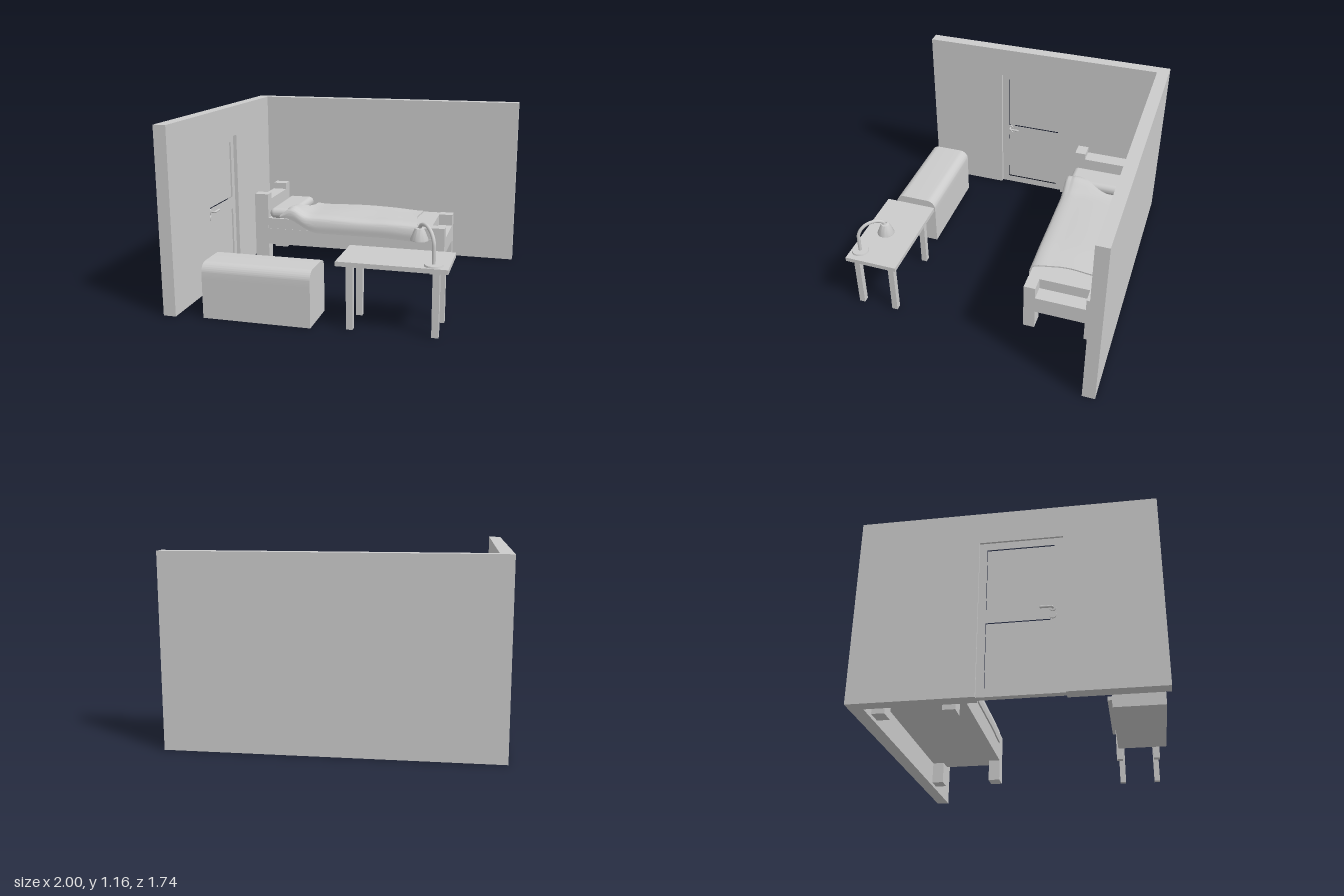
import * as THREE from 'three';
import { RoundedBoxGeometry } from 'three/addons/geometries/RoundedBoxGeometry.js';
import { toCreasedNormals } from 'three/addons/utils/BufferGeometryUtils.js';

const mat = new THREE.MeshStandardMaterial({ color: 0xcccccc });
const sheetMat = new THREE.MeshStandardMaterial({ color: 0xcccccc, side: THREE.DoubleSide });

function add(parent, name, geometry, x = 0, y = 0, z = 0, material = mat) {
  const mesh = new THREE.Mesh(geometry, material);
  mesh.name = name;
  mesh.position.set(x, y, z);
  parent.add(mesh);
  return mesh;
}

// box given by its limits on each axis
function box(parent, name, x0, x1, y0, y1, z0, z1) {
  return add(parent, name, new THREE.BoxGeometry(x1 - x0, y1 - y0, z1 - z0),
    (x0 + x1) / 2, (y0 + y1) / 2, (z0 + z1) / 2);
}

function group(parent, name) {
  const g = new THREE.Group();
  g.name = name;
  parent.add(g);
  return g;
}

// outline in the (z, y) plane, extruded from x0 to x1
function sideExtrude(points, holes, x0, x1) {
  const toV = (p) => new THREE.Vector2(-p[0], p[1]);
  const shape = new THREE.Shape(points.map(toV));
  holes.forEach((h) => shape.holes.push(new THREE.Path(h.map(toV))));
  const geo = new THREE.ExtrudeGeometry(shape, { depth: x1 - x0, bevelEnabled: false });
  return geo.rotateY(Math.PI / 2).translate(x0, 0, 0);
}

const rect = (z0, z1, y0, y1) => [[z0, y0], [z1, y0], [z1, y1], [z0, y1]];

function buildWalls(root) {
  const g = group(root, 'walls');
  box(g, 'backWall', -0.985, 0.995, 0, 1.163, -0.87, -0.79);
  const outline = [[-0.79, 0], [-0.155, 0], [-0.155, 0.96], [0.325, 0.96], [0.325, 0], [0.865, 0], [0.865, 1.163], [-0.79, 1.163]];
  add(g, 'sideWall', sideExtrude(outline, [], -0.985, -0.905));
}

function buildDoor(root) {
  const g = group(root, 'door');
  const panels = [rect(-0.11, 0.275, 0.05, 0.44), rect(-0.11, 0.275, 0.525, 0.915)];
  add(g, 'doorFrame', sideExtrude(rect(-0.155, 0.325, 0, 0.96), panels, -0.972, -0.93));
  panels.forEach((p) => add(g, 'doorPanel', sideExtrude(p, [], -0.961, -0.941)));
  // handle and lock plate on both faces
  for (const [face, dir] of [[-0.93, 1], [-0.972, -1]]) {
    const reach = dir > 0 ? 0.033 : 0.021;
    for (const y of [0.505, 0.46]) {
      add(g, 'rosette', new THREE.CylinderGeometry(0.019, 0.019, 0.008, 24).rotateZ(Math.PI / 2), face + dir * 0.004, y, 0.262);
    }
    add(g, 'handleNeck', new THREE.CylinderGeometry(0.007, 0.007, reach, 16).rotateZ(Math.PI / 2), face + dir * reach / 2, 0.505, 0.262);
    add(g, 'handleLever', new THREE.CapsuleGeometry(0.007, 0.062, 6, 16).rotateX(Math.PI / 2), face + dir * reach, 0.505, 0.228);
  }
}

// closed quilt made of rounded cross-sections along the bed
function blanketGeometry() {
  const N = 60, M = 56, thick = 0.01, pos = [], idx = [];
  const section = new THREE.CatmullRomCurve3([
    [-0.787, 0.215], [-0.788, 0.29], [-0.778, 0.342], [-0.74, 0.36], [-0.64, 0.365], [-0.53, 0.367],
    [-0.42, 0.365], [-0.33, 0.361], [-0.29, 0.345], [-0.274, 0.305], [-0.276, 0.248],
  ].map(([z, y]) => new THREE.Vector3(0, y, z)));
  const smooth = THREE.MathUtils.smoothstep;
  const point = (t, v, inset) => {
    const p = section.getPoint(v), n = section.getTangent(v);
    const w = smooth(p.z, -0.72, -0.28);
    const left = -0.485 - 0.155 * w * w;
    const right = 0.335 + 0.025 * w - 0.02 * Math.sin(w * Math.PI);
    const x = left + (right - left) * t;
    // the front hem is gathered up near the pillow
    const lift = 1 - smooth(x, -0.62, -0.35);
    let y = p.y;
    if (p.z > -0.35 && y < 0.36) y += (0.352 - y) * lift * 0.9;
    // folds over the pillow edge, and a faint sag along the quilt
    y += (0.015 + 0.05 * w) * Math.exp(-(((x + 0.555) / 0.075) ** 2)) * smooth(p.y, 0.22, 0.36);
    y += 0.004 * Math.sin(x * 9 + p.z * 5) * smooth(p.y, 0.3, 0.36);
    y -= 0.012 * smooth(x, 0.1, 0.36);
    return [x, y - n.z * inset, p.z + n.y * inset];
  };
  for (let i = 0; i <= N; i++) {
    for (let j = 0; j <= M; j++) pos.push(...point(i / N, j / M, 0));
    for (let j = M; j >= 0; j--) pos.push(...point(i / N, j / M, thick));
  }
  const R = 2 * (M + 1);
  for (let i = 0; i < N; i++) {
    for (let j = 0; j < R; j++) {
      const a = i * R + j, b = i * R + ((j + 1) % R);
      idx.push(a, b, a + R, b, b + R, a + R);
    }
  }
  // head and foot hems
  for (let j = 0; j < M; j++) {
    const a = j, b = j + 1, c = R - 2 - j, d = R - 1 - j, e = N * R;
    idx.push(a, d, b, b, d, c, e + a, e + b, e + d, e + b, e + c, e + d);
  }
  const geo = new THREE.BufferGeometry();
  geo.setAttribute('position', new THREE.Float32BufferAttribute(pos, 3));
  geo.setIndex(idx);
  return toCreasedNormals(geo, 0.9);
}

function buildBed(root) {
  const g = group(root, 'bed');
  for (const [z0, z1] of [[-0.77, -0.695], [-0.37, -0.295]]) {
    box(g, 'headPost', -0.835, -0.735, 0, 0.51, z0, z1);
    box(g, 'footPost', 0.457, 0.555, 0, 0.337, z0, z1);
  }
  box(g, 'headboard', -0.835, -0.735, 0.14, 0.465, -0.695, -0.37);
  box(g, 'footboard', 0.457, 0.555, 0.14, 0.257, -0.695, -0.37);
  box(g, 'bedFrame', -0.735, 0.457, 0.14, 0.257, -0.77, -0.295);
  box(g, 'mattress', -0.735, 0.405, 0.257, 0.333, -0.77, -0.297);
  box(g, 'footRail', 0.405, 0.457, 0.257, 0.333, -0.77, -0.297);
  add(g, 'pillow', new RoundedBoxGeometry(0.2, 0.075, 0.47, 6, 0.035), -0.63, 0.366, -0.535);
  add(g, 'blanket', blanketGeometry(), 0, 0, 0, sheetMat);
}

function buildChest(root) {
  const g = group(root, 'chest');
  box(g, 'chestBody', -0.735, -0.062, 0, 0.252, 0.55, 0.842);
  // lid with rounded long edges
  const r = 0.06, s = new THREE.Shape();
  s.moveTo(-0.842, 0.252);
  s.lineTo(-0.55, 0.252);
  s.lineTo(-0.55, 0.343 - r);
  s.absarc(-0.55 - r, 0.343 - r, r, 0, Math.PI / 2);
  s.absarc(-0.842 + r, 0.343 - r, r, Math.PI / 2, Math.PI);
  const lid = new THREE.ExtrudeGeometry(s, { depth: 0.673, bevelEnabled: false, curveSegments: 16 });
  add(g, 'chestLid', toCreasedNormals(lid.rotateY(Math.PI / 2), 0.5), -0.735);
}

function buildTable(root) {
  const g = group(root, 'table');
  box(g, 'tableTop', 0.085, 0.73, 0.388, 0.416, 0.49, 0.83);
  for (const x of [0.162, 0.66]) {
    for (const z of [0.55, 0.785]) box(g, 'tableLeg', x - 0.02, x + 0.02, 0, 0.388, z - 0.019, z + 0.019);
  }
}

function buildLamp(root) {
  const g = group(root, 'lamp');
  add(g, 'lampBase', new THREE.CylinderGeometry(0.052, 0.055, 0.01, 32), 0.64, 0.421, 0.77);
  // arm bends from the base over to the shade
  const foot = new THREE.Vector3(0.64, 0, 0.77), head = new THREE.Vector3(0.533, 0, 0.63);
  const at = (t, y) => foot.clone().lerp(head, t).setY(y);
  const path = new THREE.CatmullRomCurve3([at(0, 0.42), at(0, 0.5), at(0.02, 0.55), at(0.18, 0.595),
    at(0.42, 0.62), at(0.7, 0.624), at(0.92, 0.608), at(1, 0.58)]);
  add(g, 'lampArm', new THREE.TubeGeometry(path, 48, 0.011, 14));
  const profile = [[0.012, 0.592], [0.026, 0.588], [0.032, 0.575], [0.053, 0.524], [0.053, 0.518], [0.048, 0.518], [0.028, 0.573], [0, 0.58]];
  const shade = new THREE.LatheGeometry(profile.map(([r, y]) => new THREE.Vector2(r, y)), 32);
  add(g, 'lampShade', toCreasedNormals(shade, 0.6), head.x, 0, head.z, sheetMat);
  add(g, 'lampBulb', new THREE.SphereGeometry(0.02, 20, 14), head.x, 0.548, head.z);
}

export function createModel() {
  const root = new THREE.Group();
  root.name = 'bedroom';
  [buildWalls, buildDoor, buildBed, buildChest, buildTable, buildLamp].forEach((build) => build(root));
  return root;
}
